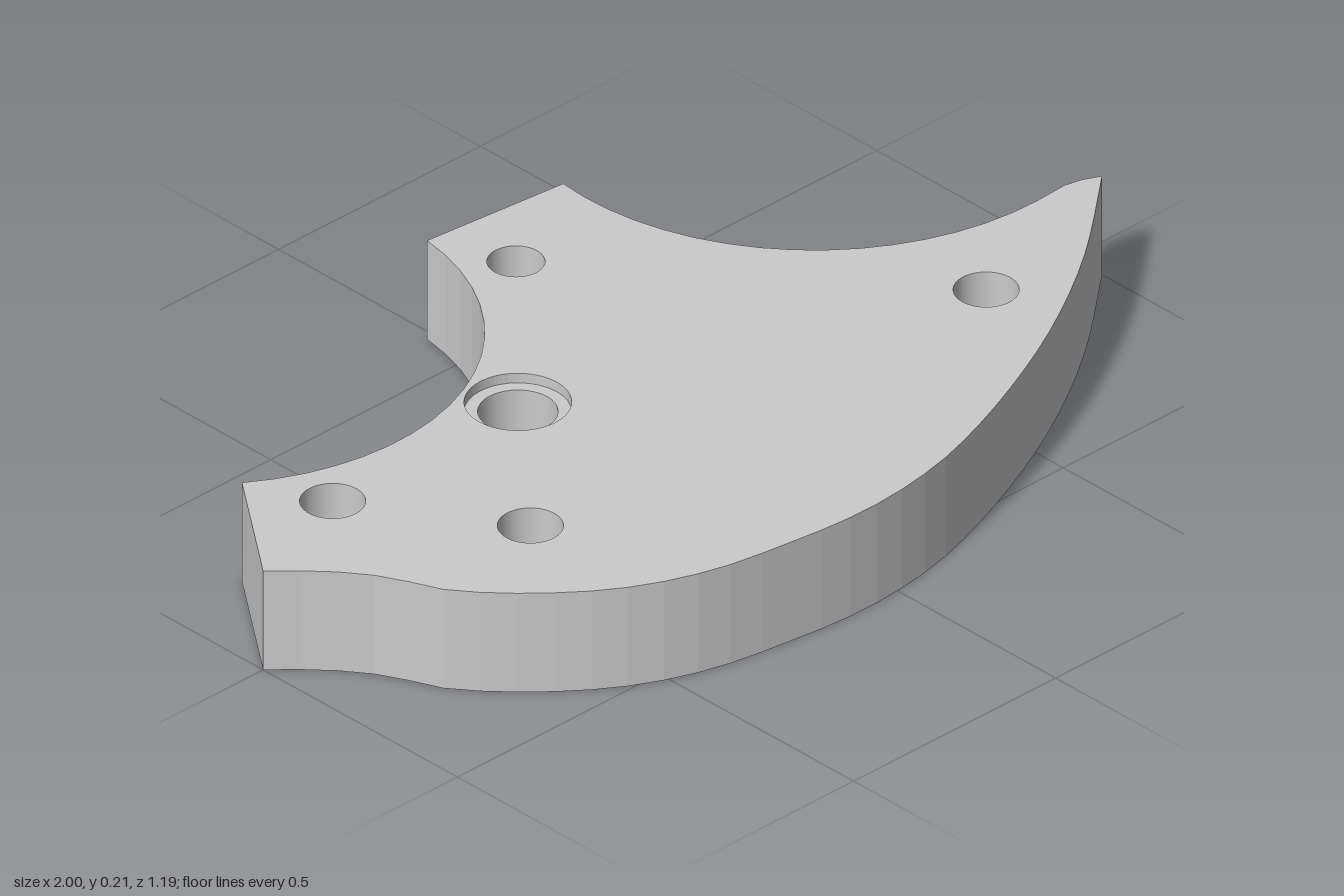
import * as THREE from 'three';
import { toCreasedNormals } from 'three/addons/utils/BufferGeometryUtils.js';

const HEIGHT = 0.208, LEDGE = 0.188;
const BORE = { x: -0.278, z: -0.095, outer: 0.096, inner: 0.072 };
// x, z, radius of the plain through holes
const HOLES = [[0.047, -0.438, 0.052], [-0.747, -0.084, 0.059], [-0.55, 0.22, 0.059], [0.586, 0.212, 0.059]];

// Points on a circle between two x,z points, the short way round
function arc(cx, cz, r, from, to, n) {
  const a = Math.atan2(from[1] - cz, from[0] - cx);
  let d = Math.atan2(to[1] - cz, to[0] - cx) - a;
  if (d > Math.PI) d -= 2 * Math.PI;
  if (d < -Math.PI) d += 2 * Math.PI;
  return Array.from({ length: n + 1 }, (_, i) => {
    const t = a + d * i / n;
    return [cx + r * Math.cos(t), cz + r * Math.sin(t)];
  });
}

// Smooth curve through x,z points
function smooth(points, n) {
  return new THREE.SplineCurve(points.map(([x, z]) => new THREE.Vector2(x, z)))
    .getSpacedPoints(n).map(p => [p.x, p.y]);
}

export function createModel() {
  const group = new THREE.Group();
  group.name = 'mountingPlate';
  const material = new THREE.MeshStandardMaterial({ color: 0xcccccc });

  // Outline: back-left notch, back-right notch, right tip, curved front, left tip
  const outline = [
    ...arc(-0.527, -0.66, 0.512, [-0.82, -0.242], [-0.017, -0.598], 18),
    ...arc(0.845, -0.5, 0.56, [0.287, -0.568], [0.86, 0.06], 16),
    [0.93, 0.056], [0.965, 0.064],
    ...smooth([[1, 0.08], [0.8, 0.245], [0.6, 0.375], [0.4, 0.475], [0.2, 0.552], [0.05, 0.587],
      [-0.1, 0.597], [-0.25, 0.583], [-0.42, 0.553], [-0.57, 0.49], [-0.7, 0.392], [-0.806, 0.275],
      [-0.853, 0.17], [-0.92, 0.078], [-1, 0]], 36),
  ];
  const shape = new THREE.Shape(outline.map(([x, z]) => new THREE.Vector2(x, -z)));
  // The outline runs clockwise, so the holes run counter-clockwise
  for (const [x, z, r] of [...HOLES, [BORE.x, BORE.z, BORE.outer]]) {
    shape.holes.push(new THREE.Path().absarc(x, -z, r, 0, Math.PI * 2, false));
  }
  const plateGeometry = new THREE.ExtrudeGeometry(shape, { depth: HEIGHT, bevelEnabled: false, curveSegments: 32 });
  plateGeometry.rotateX(-Math.PI / 2);
  const plate = new THREE.Mesh(plateGeometry, material);
  plate.name = 'plate';

  // Ledge and narrower bore inside the counterbored hole
  const profile = [[BORE.outer, LEDGE], [BORE.inner, LEDGE], [BORE.inner, 0], [BORE.outer, 0]];
  const lathe = new THREE.LatheGeometry(profile.map(([r, y]) => new THREE.Vector2(r, y)), 32);
  const seat = new THREE.Mesh(toCreasedNormals(lathe, 0.6), material);
  seat.name = 'counterboreSeat';
  seat.position.set(BORE.x, 0, BORE.z);

  group.add(plate, seat);
  return group;
}
